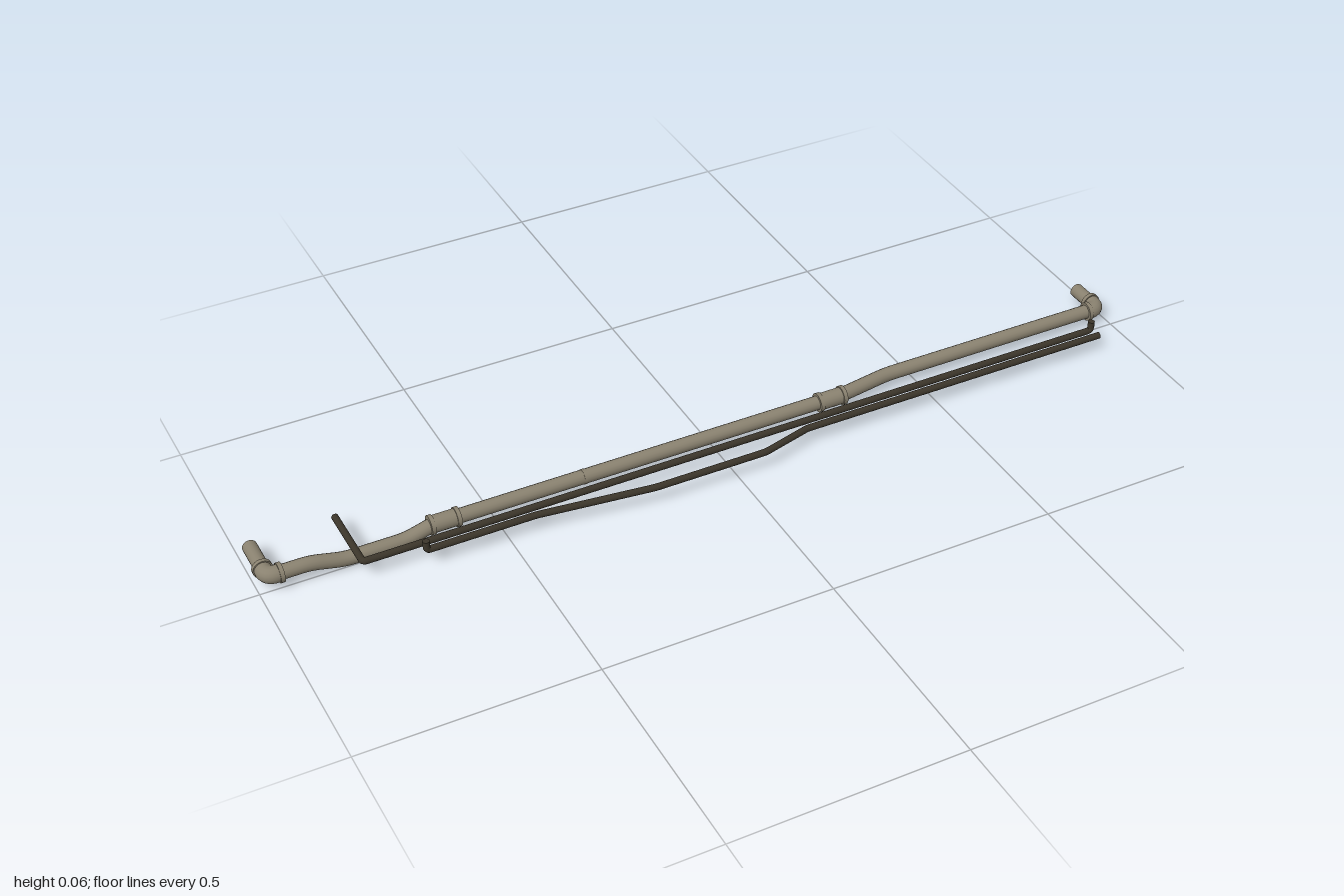
import * as THREE from 'three';
import { mergeGeometries } from 'three/addons/utils/BufferGeometryUtils.js';

const V = (p) => new THREE.Vector3(...p);

// Pipe along a polyline with rounded corners and capped ends
function pipeGeometry(points, radius, bend, sides = 16) {
  const pts = points.map(V);
  const curves = [];
  let start = pts[0];
  for (let i = 1; i < pts.length - 1; i++) {
    const c = pts[i];
    const a = c.clone().add(pts[i - 1].clone().sub(c).setLength(bend));
    const b = c.clone().add(pts[i + 1].clone().sub(c).setLength(bend));
    curves.push(new THREE.LineCurve3(start, a), new THREE.QuadraticBezierCurve3(a, c, b));
    start = b;
  }
  const last = pts[pts.length - 1];
  curves.push(new THREE.LineCurve3(start, last));
  const parts = curves.map((c) =>
    new THREE.TubeGeometry(c, c instanceof THREE.LineCurve3 ? 1 : 8, radius, sides));
  const cap = (at, from) => {
    const g = new THREE.CircleGeometry(radius, sides);
    const dir = at.clone().sub(from).normalize();
    g.applyQuaternion(new THREE.Quaternion().setFromUnitVectors(new THREE.Vector3(0, 0, 1), dir));
    g.translate(at.x, at.y, at.z);
    parts.push(g);
  };
  cap(pts[0], pts[1]);
  cap(last, pts[pts.length - 2]);
  return mergeGeometries(parts);
}

export function createModel() {
  const model = new THREE.Group();
  const steel = new THREE.MeshStandardMaterial({ color: 0x8a8270 });
  steel.name = 'grey pipe';
  const dark = new THREE.MeshStandardMaterial({ color: 0x3c362b });
  dark.name = 'dark pipe';

  const add = (name, geometry, material) => {
    const mesh = new THREE.Mesh(geometry, material);
    mesh.name = name;
    model.add(mesh);
    return mesh;
  };
  const ring = (name, axis, x, y, z, radius, length) => {
    const m = add(name, new THREE.CylinderGeometry(radius, radius, length, 20), steel);
    if (axis === 'x') m.rotation.z = Math.PI / 2;
    else m.rotation.x = Math.PI / 2;
    m.position.set(x, y, z);
  };

  // Thick main pipe: dips near the right end, jogs back near the left end
  const Y = 0.034, ZR = -0.007, ZL = -0.028, X = 0.979;
  add('mainPipe', pipeGeometry([
    [-X, Y, -0.11], [-X, Y, ZR], [-0.89, Y, ZR], [-0.82, 0.0165, ZR], [-0.69, 0.0165, ZR],
    [-0.63, Y, ZR], [0.3, Y, ZR], [0.43, Y, ZL], [X, Y, ZL], [X, Y, -0.11],
  ], 0.0155, 0.02), steel);

  // Elbow fittings with a collar on each mouth
  for (const [s, z] of [[-1, ZR], [1, ZL]]) {
    const x = s * X;
    add('elbow', pipeGeometry([[x - s * 0.028, Y, z], [x, Y, z], [x, Y, z - 0.028]], 0.0185, 0.02), steel);
    ring('elbowCollar', 'x', x - s * 0.027, Y, z, 0.021, 0.009);
    ring('elbowCollar', 'z', x, Y, z - 0.027, 0.021, 0.009);
  }

  // Straight couplings with end collars
  for (const x of [-0.608, 0.28]) {
    ring('coupling', 'x', x, Y, ZR, 0.0185, 0.06);
    for (const s of [-1, 1]) ring('couplingCollar', 'x', x + s * 0.028, Y, ZR, 0.021, 0.009);
  }
  ring('pipeSeam', 'x', -0.3, Y, ZR, 0.0163, 0.006);

  // Thin pipe with a long return at one end and an upturned tip at the other
  add('innerThinPipe', pipeGeometry([
    [-0.8, 0.042, -0.11], [-0.8, 0.042, 0.046], [0.91, 0.042, 0.046], [0.91, 0.065, 0.046],
  ], 0.0075, 0.009, 12), dark);

  // Thin pipe that bows forward in the middle
  add('outerThinPipe', pipeGeometry([
    [-0.676, 0.065, 0.071], [-0.676, 0.042, 0.071], [-0.44, 0.042, 0.071], [-0.19, 0.042, 0.102],
    [0.065, 0.042, 0.102], [0.18, 0.042, 0.071], [0.915, 0.042, 0.071],
  ], 0.0075, 0.009, 12), dark);

  return model;
}
